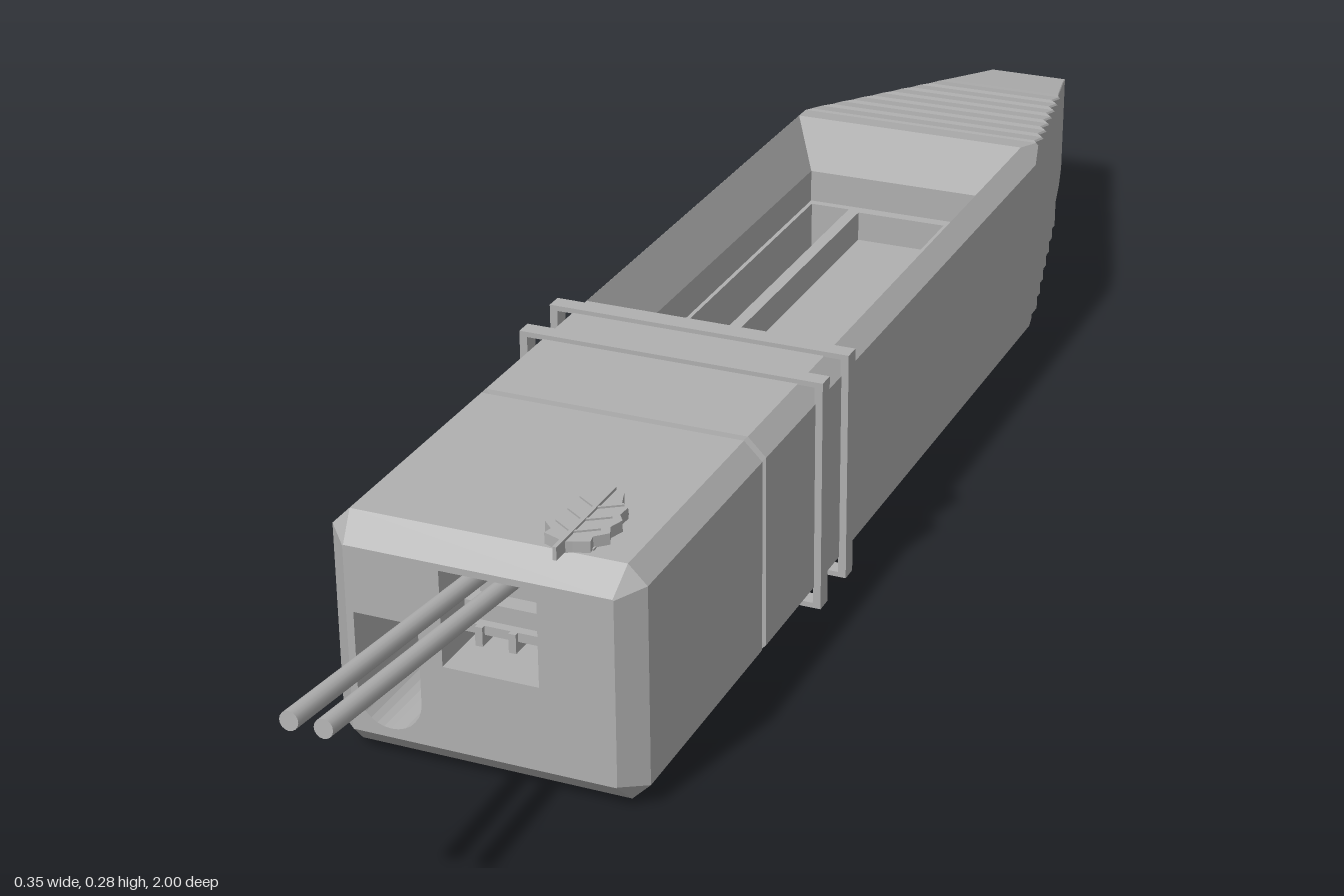
import * as THREE from 'three';

const grey = new THREE.MeshStandardMaterial({ color: 0xb0b0b0, side: THREE.DoubleSide });
grey.name = 'plain grey';

function add(group, name, geometry) {
  const mesh = new THREE.Mesh(geometry, grey);
  mesh.name = name;
  group.add(mesh);
  return mesh;
}

function box(group, name, x0, x1, y0, y1, z0, z1) {
  const mesh = add(group, name, new THREE.BoxGeometry(x1 - x0, y1 - y0, z1 - z0));
  mesh.position.set((x0 + x1) / 2, (y0 + y1) / 2, (z0 + z1) / 2);
  return mesh;
}

// Faceted skin through closed rings of points; skip(ring, edge) leaves openings
function loft(rings, skip = () => false) {
  const pos = [];
  for (let i = 0; i < rings.length - 1; i++) {
    const n = rings[i].length;
    for (let j = 0; j < n; j++) {
      if (skip(i, j)) continue;
      const k = (j + 1) % n;
      const [a, b, c, d] = [rings[i][j], rings[i][k], rings[i + 1][k], rings[i + 1][j]];
      pos.push(...a, ...b, ...c, ...a, ...c, ...d);
    }
  }
  const g = new THREE.BufferGeometry();
  g.setAttribute('position', new THREE.Float32BufferAttribute(pos, 3));
  g.computeVertexNormals();
  return g;
}

// Chamfered cross-section, counter-clockwise; edge 4 is the flat top
const section = (w, y0, y1, cb, ct) => [
  [-w + cb, y0], [w - cb, y0], [w, y0 + cb], [w, y1 - ct],
  [w - ct, y1], [-w + ct, y1], [-w, y1 - ct], [-w, y0 + cb]];
const rect = (x0, x1, y0, y1) => [[x0, y0], [x1, y0], [x1, y1], [x0, y1]];
const atZ = (points, z) => points.map(([x, y]) => [x, y, z]);
const atY = (x0, x1, z0, z1, y) => [[x0, y, z1], [x1, y, z1], [x1, y, z0], [x0, y, z0]];

// Upright slot with a round bottom
function slot(cx, r, y0, y1) {
  const p = [[cx + r, y1], [cx - r, y1]];
  for (let i = 0; i <= 14; i++) {
    const a = Math.PI + (i / 14) * Math.PI;
    p.push([cx + r * Math.cos(a), y0 + r + r * Math.sin(a)]);
  }
  return p;
}

function plate(outline, holes = []) {
  const v = p => p.map(([x, y]) => new THREE.Vector2(x, y));
  const s = new THREE.Shape(v(outline));
  holes.forEach(h => s.holes.push(new THREE.Path(v(h))));
  return s;
}

export function createModel() {
  const model = new THREE.Group();
  model.name = 'housing';
  const W = 0.167, B = 0.005, T = 0.262, C = 0.02;
  const full = section(W, B, T, C, C);
  const thin = section(W - 0.006, B + 0.006, T - 0.006, C, C);
  const nose = section(0.143, 0.03, 0.235, 0.001, 0.001);
  const tip = section(0.053, B + 0.018, 0.175, 0.022, 0.001);

  // Main shell, front to back, with a seam and an open top in the middle
  const shell = [[nose, 0.68], [full, 0.655], [full, 0.375], [thin, 0.374], [thin, 0.366],
    [full, 0.365], [full, 0.12], [full, -0.51]].map(([p, z]) => atZ(p, z));
  add(model, 'shell', loft(shell, (i, j) => i === 6 && j === 4));

  // Tapered tail with stepped grip ridges
  const topAt = z => T - (z + 0.51) / -0.49 * (T - 0.175);
  const widthAt = z => 0.157 - (z + 0.55) / -0.45 * 0.104;
  const tail = [atZ(full, -0.51), atZ(section(0.157, B, topAt(-0.55), 0.012, 0.003), -0.55)];
  const ridges = 7, step = 0.32 / ridges;
  for (let i = 0; i < ridges; i++) {
    const z0 = -0.55 - i * step, z1 = z0 - step;
    tail.push(atZ(section(widthAt(z0) - 0.006, B, topAt(z0), 0.008, 0.002), z0 - 0.008));
    tail.push(atZ(section(widthAt(z1) + 0.004, B, topAt(z1), 0.008, 0.002), z1 + 0.003));
  }
  tail.push(atZ(section(widthAt(-0.88), B, topAt(-0.88), 0.02, 0.001), -0.88));
  tail.push(atZ(section(0.057, B, topAt(-0.98), 0.022, 0.001), -0.98), atZ(tip, -1));
  add(model, 'tail', loft(tail));

  // End faces and the tunnels behind them
  const cable = slot(-0.1, 0.035, 0.04, 0.163), rear = slot(0, 0.037, 0.045, 0.16);
  const port = rect(-0.04, 0.063, 0.123, 0.228);
  add(model, 'frontFace', new THREE.ShapeGeometry(plate(nose, [cable, port]))).position.z = 0.68;
  const back = add(model, 'rearFace', new THREE.ShapeGeometry(plate(tip, [rear])));
  back.rotation.y = Math.PI;
  back.position.z = -1;
  add(model, 'frontTunnel', loft([atZ(cable, 0.68), atZ(cable, 0.1)]));
  add(model, 'rearTunnel', loft([atZ(rear, -1), atZ(rear, -0.8),
    atZ(slot(-0.09, 0.03, 0.045, 0.155), -0.48)]));

  // Wire port with its stepped inner socket
  add(model, 'port', loft([atZ(port, 0.68), atZ(port, 0.55)]));
  box(model, 'portBack', -0.04, 0.063, 0.123, 0.228, 0.54, 0.55);
  box(model, 'socket', -0.033, 0.033, 0.172, 0.195, 0.55, 0.61);
  box(model, 'socketStep', -0.04, 0.063, 0.153, 0.172, 0.55, 0.63);
  box(model, 'socketBar', -0.04, 0.063, 0.143, 0.153, 0.55, 0.64);
  for (const x of [-0.018, 0.018]) box(model, 'socketPin', x - 0.004, x + 0.004, 0.132, 0.153, 0.55, 0.645);

  // Open compartment: sloped rim, upright walls, floor with two channels
  const floorY = 0.16;
  add(model, 'compartment', loft([
    atY(-W + C, W - C, -0.51, 0.12, T),
    atY(-0.12, 0.12, -0.485, 0.09, 0.2),
    atY(-0.12, 0.12, -0.485, 0.09, floorY)]));
  const channels = [[-0.115, -0.065, -0.475, 0.08, 0.045], [-0.05, 0.063, -0.47, 0.06, 0.123]];
  const floor = add(model, 'compartmentFloor', new THREE.ShapeGeometry(plate(
    rect(-0.12, 0.12, -0.09, 0.485),
    channels.map(([x0, x1, z0, z1]) => rect(x0, x1, -z1, -z0)))));
  floor.rotation.x = -Math.PI / 2;
  floor.position.y = floorY;
  for (const [x0, x1, z0, z1, y] of channels) {
    add(model, 'channel', loft([atY(x0, x1, z0, z1, floorY), atY(x0, x1, z0, z1, y)]));
    box(model, 'channelFloor', x0, x1, y - 0.004, y, z0, z1);
  }

  // Two square bands around the body
  for (const z of [0.135, 0.21]) {
    const band = plate(rect(-0.175, 0.175, 0, 0.267), [rect(-0.166, 0.166, 0.006, 0.261)]);
    add(model, 'band', new THREE.ExtrudeGeometry(band, { depth: 0.02, bevelEnabled: false })).position.z = z;
  }

  // Pair of wires leaving the port
  for (const x of [-0.017, 0.017]) {
    const path = new THREE.LineCurve3(new THREE.Vector3(x, 0.2, 0.56), new THREE.Vector3(x, 0.246, 0.999));
    add(model, 'wire', new THREE.TubeGeometry(path, 1, 0.0095, 16));
    const end = add(model, 'wireEnd', new THREE.CircleGeometry(0.0095, 16));
    end.position.set(x, 0.246, 0.999);
    end.rotation.x = -0.104;
  }

  // Leaf ornament: scalloped blade, veins, stem and a small foot
  const leaf = new THREE.Group();
  leaf.name = 'leaf';
  const half = [[0.008, -0.052], [0.024, -0.046], [0.022, -0.036], [0.034, -0.024], [0.029, -0.012],
    [0.034, 0.004], [0.027, 0.014], [0.028, 0.03], [0.018, 0.038], [0.012, 0.056]];
  const outline = [[0, -0.056], ...half, [0, 0.07], ...half.map(([x, y]) => [-x, y]).reverse()];
  const blade = add(leaf, 'leafBlade', new THREE.ExtrudeGeometry(plate(outline), { depth: 0.012, bevelEnabled: false }));
  blade.rotation.x = -Math.PI / 2;
  blade.position.y = 0.263;
  box(leaf, 'leafMidrib', -0.002, 0.002, 0.264, 0.278, -0.06, 0.074);
  for (const s of [-1, 1]) for (const z of [-0.025, 0.002, 0.028]) {
    const vein = box(leaf, 'leafVein', -0.013, 0.013, 0.27, 0.277, -0.0015, 0.0015);
    vein.position.x = s * 0.012;
    vein.position.z = z;
    vein.rotation.y = s * 0.6;
  }
  box(leaf, 'leafFoot', -0.024, 0.024, 0.255, 0.264, -0.04, 0.04);
  leaf.position.set(0.083, 0, 0.605);
  model.add(leaf);
  return model;
}
